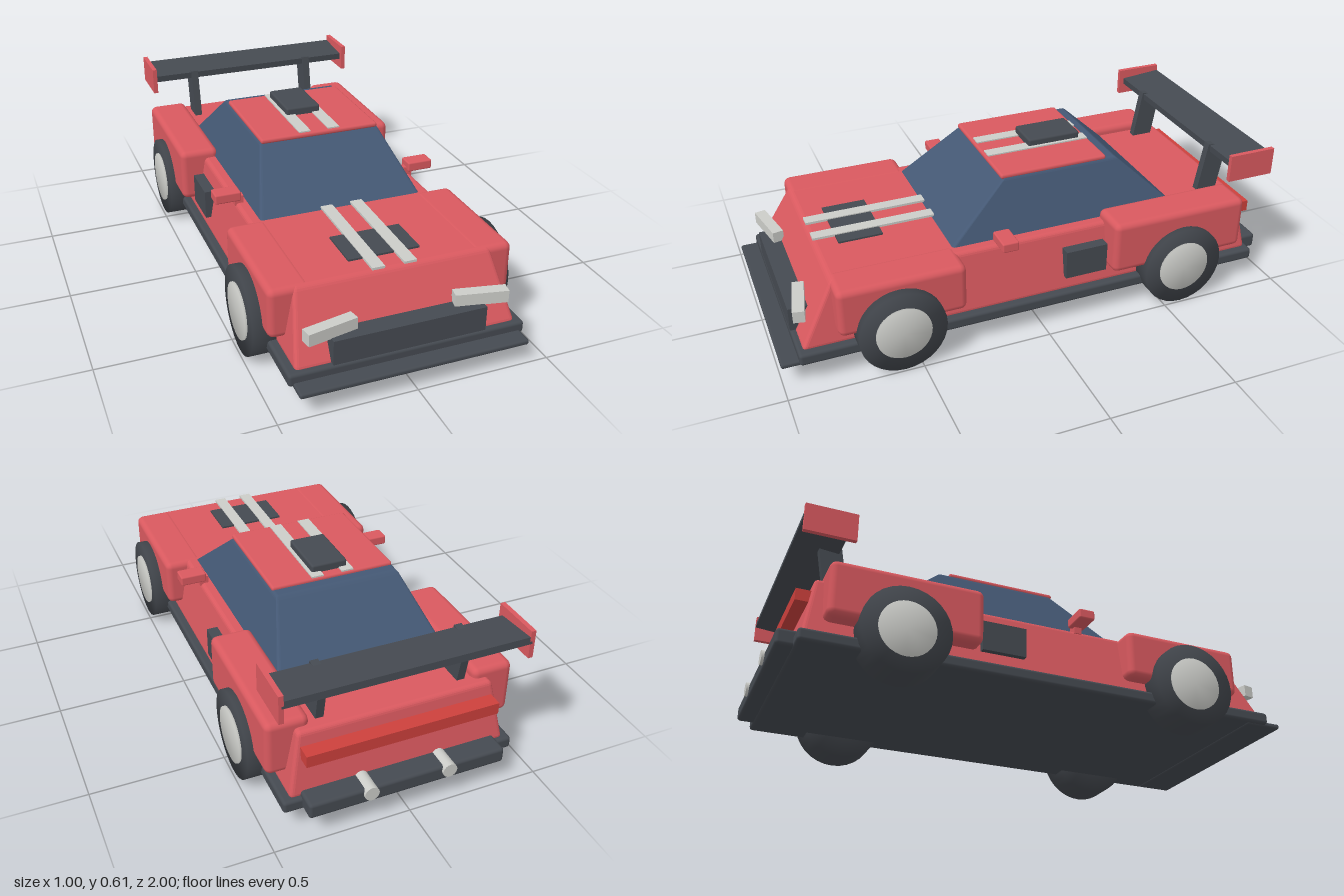
import * as THREE from 'three';
import { RoundedBoxGeometry } from 'three/addons/geometries/RoundedBoxGeometry.js';
import { mergeVertices } from 'three/addons/utils/BufferGeometryUtils.js';

const material = (name, color) => {
  const m = new THREE.MeshStandardMaterial({ color });
  m.name = name;
  return m;
};

export function createModel() {
  const red = material('body red', 0xd9595f);
  const dark = material('dark trim', 0x454a51);
  const glass = material('tinted glass', 0x445874);
  const silver = material('silver', 0xcbccc8);
  const lamp = material('tail light red', 0xcc403c);
  const tyre = material('tyre', 0x40444a);
  const car = new THREE.Group();
  car.name = 'raceCar';

  const add = (name, geometry, mat, parent = car) => {
    const mesh = new THREE.Mesh(geometry, mat);
    mesh.name = name;
    parent.add(mesh);
    return mesh;
  };

  // Box given by its min/max limits on each axis, with optional rounded edges
  const box = (name, mat, [x0, x1], [y0, y1], [z0, z1], r = 0) => {
    const size = [x1 - x0, y1 - y0, z1 - z0];
    const g = r ? new RoundedBoxGeometry(...size, 2, r) : new THREE.BoxGeometry(...size);
    const mesh = add(name, g, mat);
    mesh.position.set((x0 + x1) / 2, (y0 + y1) / 2, (z0 + z1) / 2);
    return mesh;
  };

  // Rounded box whose half width, back and front change from bottom to top
  const taperedBox = (name, mat, [y0, y1], bottom, top, r) => {
    const h = y1 - y0;
    const w = bottom.half * 2;
    const d = bottom.front - bottom.back;
    const g = new RoundedBoxGeometry(w, h, d, 2, r);
    const p = g.attributes.position;
    for (let i = 0; i < p.count; i++) {
      const t = p.getY(i) / h + 0.5;
      const mix = (key) => THREE.MathUtils.lerp(bottom[key], top[key], t);
      const back = mix('back');
      p.setXYZ(i,
        (p.getX(i) / w) * 2 * mix('half'),
        y0 + t * h,
        back + (p.getZ(i) / d + 0.5) * (mix('front') - back));
    }
    g.computeVertexNormals();
    return add(name, g, mat);
  };

  // Cylinder along x with normals blended over its rim
  const softDisc = (r, width) => {
    const g = new THREE.CylinderGeometry(r, r, width, 32);
    g.rotateZ(Math.PI / 2);
    g.deleteAttribute('uv');
    g.deleteAttribute('normal');
    const merged = mergeVertices(g);
    merged.computeVertexNormals();
    return merged;
  };

  // Body shell and cabin
  taperedBox('body', red, [0.12, 0.36],
    { half: 0.41, back: -0.915, front: 0.92 },
    { half: 0.365, back: -0.875, front: 0.785 }, 0.015);
  taperedBox('cabinGlass', glass, [0.34, 0.565],
    { half: 0.33, back: -0.62, front: 0.343 },
    { half: 0.24, back: -0.38, front: 0.08 }, 0.012);
  box('roofPanel', red, [-0.24, 0.24], [0.557, 0.577], [-0.34, 0.095], 0.009);
  box('roofScoop', dark, [-0.07, 0.07], [0.57, 0.608], [-0.305, -0.09], 0.008);

  // Floor, splitter, grille and rear bumper
  box('floorPan', dark, [-0.438, 0.438], [0.08, 0.127], [-0.93, 0.935], 0.012);
  box('frontSplitter', dark, [-0.422, 0.422], [0.075, 0.095], [0.85, 1], 0.008);
  box('grille', dark, [-0.282, 0.282], [0.13, 0.223], [0.85, 0.935]);
  box('rearBumper', dark, [-0.37, 0.37], [0.085, 0.145], [-0.99, -0.88], 0.012);
  box('tailLight', lamp, [-0.36, 0.36], [0.265, 0.31], [-0.938, -0.87]);
  box('hoodVent', dark, [-0.135, 0.135], [0.35, 0.367], [0.53, 0.7]);

  for (const s of [-1, 1]) {
    const span = (a, b) => (s > 0 ? [a, b] : [-b, -a]);

    // Wheel arches and side details
    box('frontFender', red, span(0.3, 0.455), [0.172, 0.362], [0.31, 0.79], 0.025);
    box('rearFender', red, span(0.308, 0.466), [0.182, 0.394], [-0.845, -0.28], 0.025);
    box('sideIntake', dark, span(0.36, 0.42), [0.18, 0.295], [-0.27, -0.1]);
    box('mirror', red, span(0.348, 0.45), [0.376, 0.414], [0.108, 0.172], 0.006);
    box('mirrorStalk', red, span(0.335, 0.37), [0.35, 0.39], [0.125, 0.155]);

    // Stripes
    box('hoodStripe', silver, span(0.036, 0.083), [0.362, 0.371], [0.31, 0.785]);
    box('roofStripe', silver, span(0.036, 0.083), [0.574, 0.582], [-0.335, 0.085]);

    // Headlight, angled outwards
    const headlight = box('headlight', silver, span(0.182, 0.372), [0.221, 0.267], [0.87, 0.913]);
    headlight.rotation.y = -s * 0.2;

    // Exhaust pipe
    const pipe = add('exhaustPipe', new THREE.CylinderGeometry(0.027, 0.027, 0.1, 20), silver);
    pipe.rotation.x = Math.PI / 2;
    pipe.position.set(s * 0.148, 0.128, -0.95);

    // Wing support and end plate
    const strut = box('wingStrut', dark, span(0.252, 0.282), [0.34, 0.555], [-0.84, -0.755]);
    strut.rotation.x = -0.17;
    box('wingEndPlate', red, span(0.442, 0.46), [0.485, 0.593], [-0.95, -0.76]);

    // Wheels
    for (const [name, z] of [['frontWheel', 0.567], ['rearWheel', -0.573]]) {
      const wheel = new THREE.Group();
      wheel.name = name;
      wheel.position.set(s * 0.43, 0.164, z);
      add('tyre', softDisc(0.164, 0.122), tyre, wheel);
      add('hub', softDisc(0.104, 0.03), silver, wheel).position.x = s * 0.054;
      car.add(wheel);
    }
  }

  // Rear wing blade, raised at its trailing edge
  const wing = box('wingBlade', dark, [-0.45, 0.45], [0.535, 0.562], [-0.95, -0.78]);
  wing.rotation.x = 0.09;

  return car;
}
